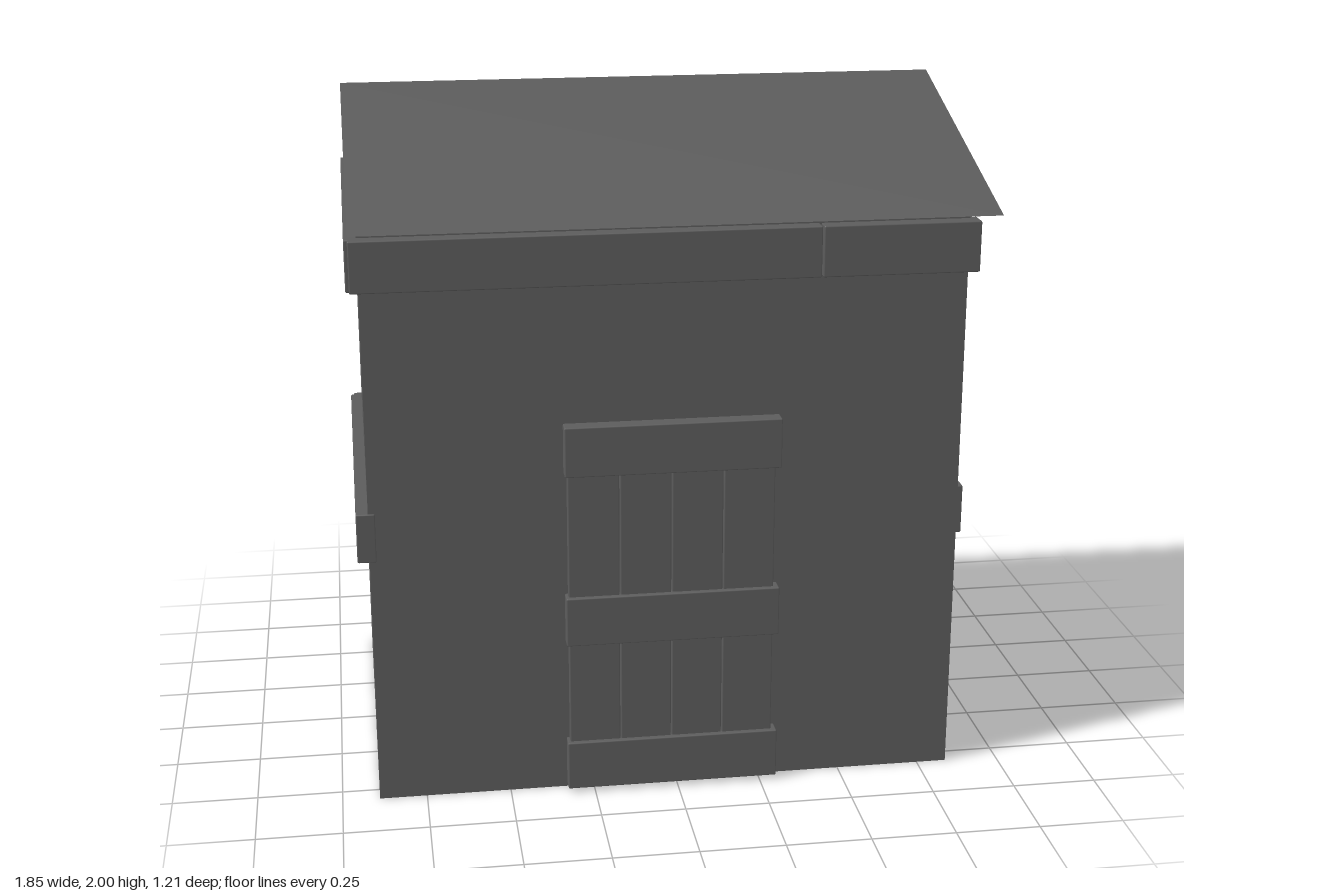
import * as THREE from 'three';
import { RoundedBoxGeometry } from 'three/addons/geometries/RoundedBoxGeometry.js';

export function createModel() {
  const model = new THREE.Group();
  model.name = 'shed';
  const grey = new THREE.MeshStandardMaterial({ color: 0x5c5c5c, side: THREE.DoubleSide });
  grey.name = 'dark grey';

  const add = (name, geometry) => {
    const mesh = new THREE.Mesh(geometry, grey);
    mesh.name = name;
    model.add(mesh);
  };

  // Board given by its extents, with slightly eased edges
  const board = (name, x0, x1, y0, y1, z0, z1) => {
    const g = new RoundedBoxGeometry(x1 - x0, y1 - y0, z1 - z0, 1, 0.004);
    g.translate((x0 + x1) / 2, (y0 + y1) / 2, (z0 + z1) / 2);
    add(name, g);
  };

  // Thin open sheet: a (z, y) path swept along x
  const sheet = (name, path, x0, x1) => {
    const p = [];
    for (let i = 0; i < path.length - 1; i++) {
      const [za, ya] = path[i], [zb, yb] = path[i + 1];
      p.push(x0, ya, za, x0, yb, zb, x1, yb, zb, x0, ya, za, x1, yb, zb, x1, ya, za);
    }
    const g = new THREE.BufferGeometry();
    g.setAttribute('position', new THREE.Float32BufferAttribute(p, 3));
    g.computeVertexNormals();
    add(name, g);
  };

  // Walls: single skin, open below
  const L = -0.89, R = 0.84, F = 0.557, B = -0.598, ridgeZ = -0.267;
  sheet('frontWall', [[F, 1.735], [F, 0]], L, R);
  sheet('backWall', [[B, 0], [B, 1.725]], L, R);
  const gable = new THREE.Shape([[-F, 0], [-B, 0], [-B, 1.725], [-ridgeZ, 1.995], [-F, 1.737]]
    .map(([x, y]) => new THREE.Vector2(x, y)));
  add('leftWall', new THREE.ShapeGeometry(gable).rotateY(Math.PI / 2).translate(R, 0, 0));
  const rightWall = new THREE.Shape([[F, 0], [B, 0], [B, 1.725], [ridgeZ, 1.995], [F, 1.737]]
    .map(([x, y]) => new THREE.Vector2(x, y)));
  add('rightWall', new THREE.ShapeGeometry(rightWall).rotateY(-Math.PI / 2).translate(L, 0, 0));

  // Roof with an off-centre ridge, overhanging the ends and the front
  sheet('roof', [[B - 0.005, 1.723], [ridgeZ, 2], [0.604, 1.723]], -0.915, 0.923);

  // Trim bands around the walls, front and back runs made of two boards
  for (const [name, y0, y1] of [['upperBand', 1.56, 1.708], ['lowerBand', 0.755, 0.903]]) {
    board(name + 'LeftSide', 0.81, 0.856, y0 - 0.004, y1 - 0.004, -0.57, 0.556);
    board(name + 'RightSide', -0.925, -0.87, y0, y1, -0.59, 0.58 - (name === 'lowerBand' ? 0.02 : 0));
    const runs = [['Back', -0.61, -0.548]];
    if (name === 'upperBand') runs.push(['Front', 0.54, 0.6]);
    for (const [side, z0, z1] of runs) {
      board(name + side + 'Long', -0.915, 0.404, y0, y1, z0, z1);
      board(name + side + 'Short', 0.408, 0.863, y0, y1, z0, z1);
    }
  }

  // Door: four upright planks and three cross battens
  for (let i = 0; i < 4; i++) {
    const x = -0.322 + i * 0.152;
    board('doorPlank', x, x + 0.15, 0.015, 1.14, 0.559, 0.587);
  }
  for (const y of [0.012, 0.475, 0.998]) board('doorBatten', -0.33, 0.3, y, y + 0.15, 0.545, 0.601);

  return model;
}
